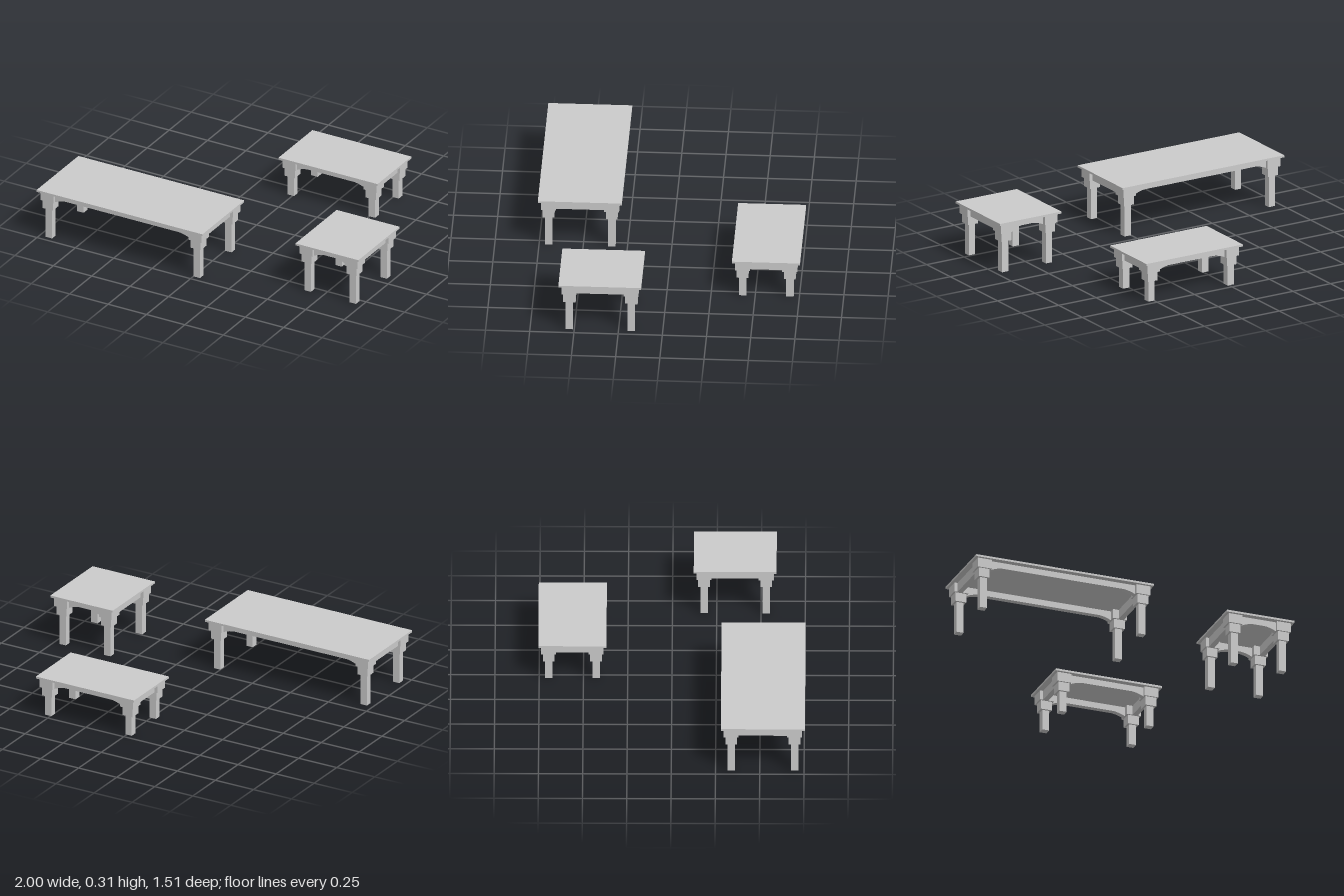
import * as THREE from 'three';

const material = new THREE.MeshStandardMaterial({ color: 0xcccccc, flatShading: true });

const LEG = 0.042, CAP = 0.066, BLOCK = 0.085, INSET = 0.016;
const TOP = 0.012, BLOCK_H = 0.055, CAP_H = 0.053, RAIL = 0.032;

function addMesh(parent, name, geometry, x, y, z) {
  const mesh = new THREE.Mesh(geometry, material);
  mesh.name = name;
  mesh.position.set(x, y, z);
  parent.add(mesh);
  return mesh;
}

function addBox(parent, name, w, h, d, x, yBottom, z) {
  return addMesh(parent, name, new THREE.BoxGeometry(w, h, d), x, yBottom + h / 2, z);
}

// Rail with a shallow arch cut along its lower edge
function archedRail(length) {
  const half = length / 2, run = 0.068, rise = 0.02;
  const s = new THREE.Shape();
  s.moveTo(-half, BLOCK_H);
  s.lineTo(-half, 0);
  s.quadraticCurveTo(-half + run * 0.55, rise * 0.85, -half + run, rise);
  s.lineTo(half - run, rise);
  s.quadraticCurveTo(half - run * 0.55, rise * 0.85, half, 0);
  s.lineTo(half, BLOCK_H);
  s.closePath();
  const g = new THREE.ExtrudeGeometry(s, { depth: RAIL, bevelEnabled: false, curveSegments: 5 });
  g.translate(0, 0, -RAIL / 2);
  return g;
}

function createTable(name, width, depth, height) {
  const table = new THREE.Group();
  table.name = name;
  const blockY = height - TOP - BLOCK_H;
  const capY = blockY - CAP_H;
  const px = width / 2 - INSET - BLOCK / 2;
  const pz = depth / 2 - INSET - BLOCK / 2;

  addBox(table, 'tableTop', width, TOP, depth, 0, height - TOP, 0);

  // Stepped legs at the four corners
  for (const sx of [-1, 1]) {
    for (const sz of [-1, 1]) {
      const leg = new THREE.Group();
      leg.name = (sz > 0 ? 'front' : 'back') + (sx > 0 ? 'Left' : 'Right') + 'Leg';
      leg.position.set(sx * px, 0, sz * pz);
      addBox(leg, 'cornerBlock', BLOCK, BLOCK_H, BLOCK, 0, blockY, 0);
      addBox(leg, 'legCollar', CAP, CAP_H, CAP, 0, capY, 0);
      addBox(leg, 'legPost', LEG, capY, LEG, 0, 0, 0);
      table.add(leg);
    }
  }

  // Arched rails along the front and back, straight rails at the ends
  for (const s of [-1, 1]) {
    addMesh(table, s > 0 ? 'frontRail' : 'backRail', archedRail(2 * px - BLOCK), 0, blockY, s * (pz + 0.008));
    addBox(table, s > 0 ? 'leftRail' : 'rightRail', RAIL, BLOCK_H, 2 * pz - BLOCK, s * (px + 0.008), blockY, 0);
  }
  return table;
}

export function createModel() {
  const model = new THREE.Group();
  model.name = 'tableSet';
  const tables = [
    // name, x range, z range, height
    ['longTable', -1, 0.08, 0.28, 0.755, 0.306],
    ['sideTable', 0.59, 1, 0.12, 0.588, 0.306],
    ['lowTable', -0.07, 0.575, -0.755, -0.37, 0.242],
  ];
  for (const [name, x0, x1, z0, z1, height] of tables) {
    const table = createTable(name, x1 - x0, z1 - z0, height);
    table.position.set((x0 + x1) / 2, 0, (z0 + z1) / 2);
    model.add(table);
  }
  return model;
}
